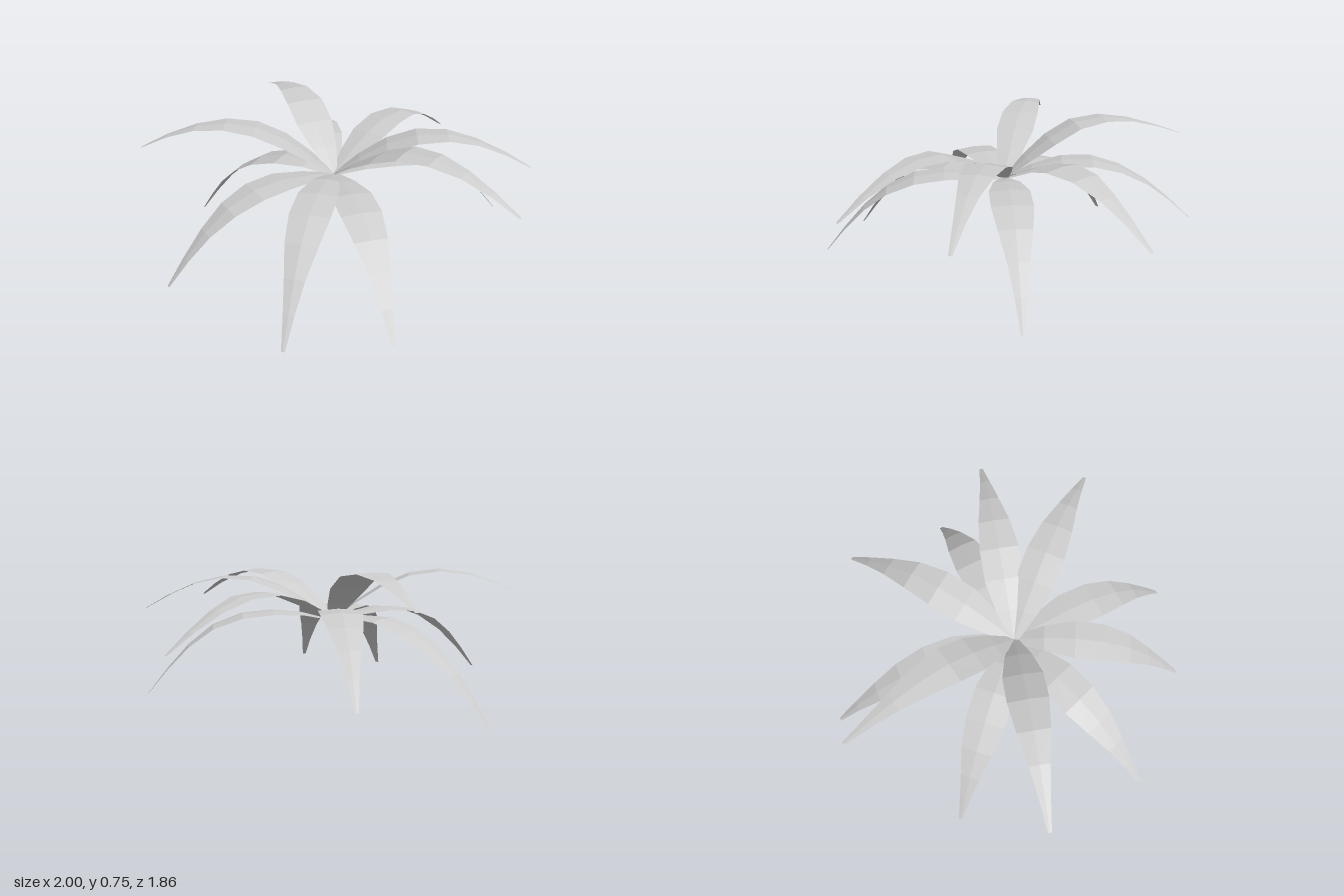
import * as THREE from 'three';

const BASE = new THREE.Vector3(-0.01, 0.455, 0.01);
const SEGMENTS = 7;
// Half width of a leaf at each station from root to tip
const HALF_WIDTHS = [0.022, 0.068, 0.1, 0.1, 0.08, 0.05, 0.027, 0.009];

// Each leaf: tip x, tip z, then heights at 20, 40, 60, 80 and 100 % of its reach
const LEAVES = [
  [0.998, -0.09, 0.59, 0.67, 0.675, 0.61, 0.5],
  [0.87, -0.355, 0.5, 0.505, 0.465, 0.33, 0.105],
  [0.55, -0.83, 0.56, 0.63, 0.625, 0.54, 0.41],
  [-0.3, -0.93, 0.53, 0.56, 0.52, 0.41, 0.235],
  [-0.525, -0.83, 0.62, 0.73, 0.745, 0.7, 0.63],
  [-0.84, -0.345, 0.49, 0.475, 0.395, 0.24, 0.003],
  [-1.0, 0.09, 0.61, 0.705, 0.725, 0.68, 0.59],
  [-0.735, 0.615, 0.49, 0.5, 0.45, 0.32, 0.11],
  [-0.125, 0.925, 0.5, 0.49, 0.43, 0.27, 0.035],
  [0.355, 0.88, 0.485, 0.49, 0.44, 0.3, 0.08],
  [0.885, 0.475, 0.59, 0.68, 0.685, 0.625, 0.515],
];

// An arching blade with a slightly raised midrib
function leafGeometry([tipX, tipZ, ...heights]) {
  const path = [BASE.clone()];
  heights.forEach((y, i) => {
    const t = (i + 1) / heights.length;
    path.push(new THREE.Vector3(
      THREE.MathUtils.lerp(BASE.x, tipX, t), y, THREE.MathUtils.lerp(BASE.z, tipZ, t)));
  });
  const curve = new THREE.CatmullRomCurve3(path);
  const side = new THREE.Vector3(tipZ - BASE.z, 0, BASE.x - tipX).normalize();

  const positions = [];
  const index = [];
  for (let i = 0; i <= SEGMENTS; i++) {
    const t = i / SEGMENTS;
    const centre = curve.getPointAt(t);
    const up = curve.getTangentAt(t).cross(side).normalize();
    const half = HALF_WIDTHS[i];
    for (const k of [-1, 0, 1]) {
      const p = centre.clone().addScaledVector(side, k * half);
      p.addScaledVector(up, (0.5 - Math.abs(k)) * half * 0.08);
      positions.push(p.x, p.y, p.z);
    }
    if (i === SEGMENTS) break;
    for (const j of [0, 1]) {
      const a = i * 3 + j, b = a + 1, c = a + 3, d = a + 4;
      index.push(a, c, b, b, c, d);
    }
  }
  const geometry = new THREE.BufferGeometry();
  geometry.setAttribute('position', new THREE.Float32BufferAttribute(positions, 3));
  geometry.setIndex(index);
  const faceted = geometry.toNonIndexed();
  faceted.computeVertexNormals();
  return faceted;
}

export function createModel() {
  const plant = new THREE.Group();
  plant.name = 'plant';
  const leafGrey = new THREE.MeshStandardMaterial({
    color: 0xcccccc, flatShading: true, side: THREE.DoubleSide,
  });
  leafGrey.name = 'leaf grey';

  LEAVES.forEach((leaf, i) => {
    const mesh = new THREE.Mesh(leafGeometry(leaf), leafGrey);
    mesh.name = `leaf${i + 1}`;
    plant.add(mesh);
  });
  return plant;
}
